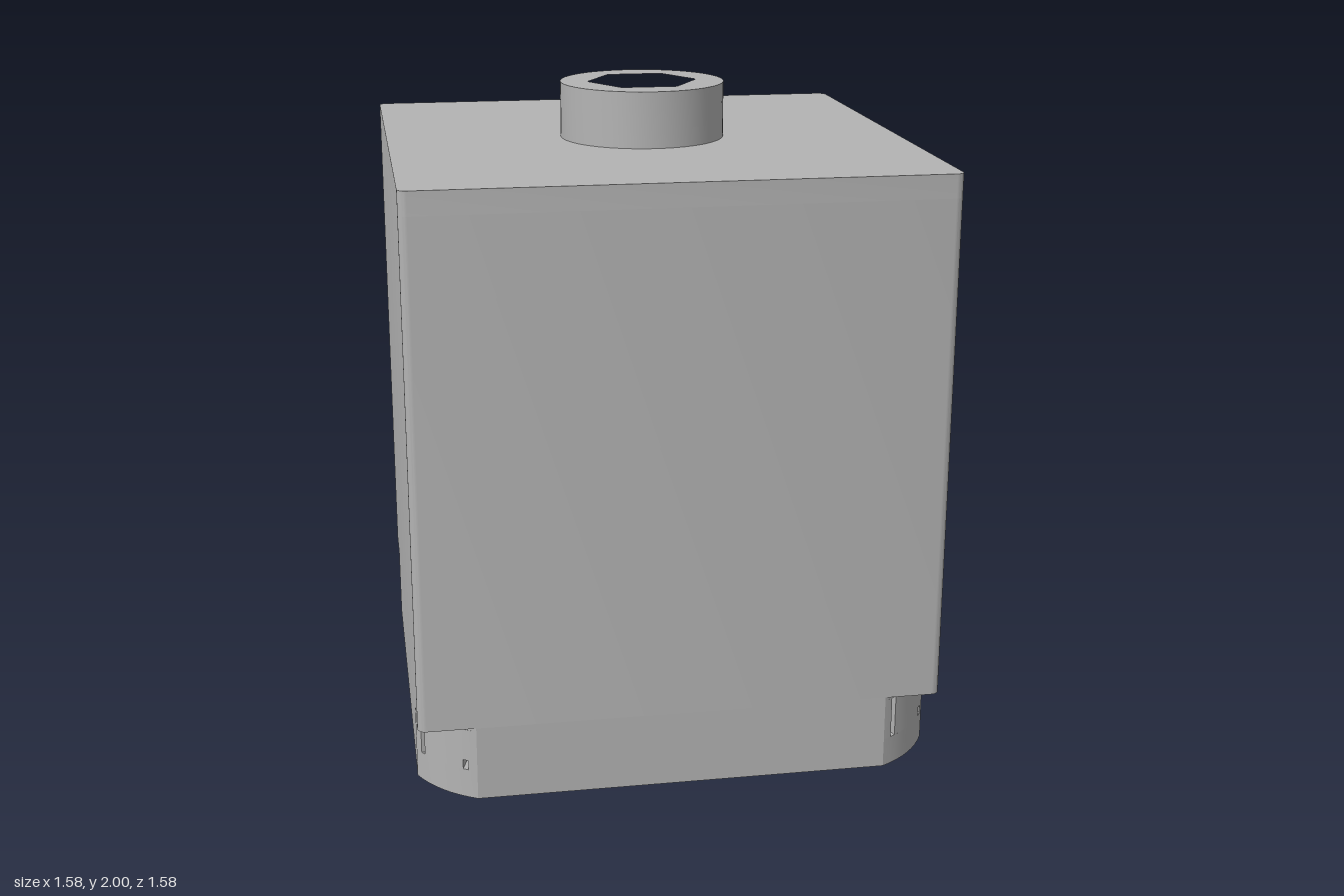
import * as THREE from 'three';
import { toCreasedNormals } from 'three/addons/utils/BufferGeometryUtils.js';

const HALF = 0.79, CUT = 0.17, WALL = 0.065, BULGE = 0.02;
const FOOT_TOP = 0.23, CEILING = 1.76, BODY_TOP = 1.83;
const INNER = HALF - WALL;
const INNER_END = HALF - CUT - WALL * Math.tan(Math.PI / 8) + 0.03; // end of each inner wall

const turn = (p, k) => {
  let [x, z] = p;
  for (let i = 0; i < k; i++) [x, z] = [z, -x];
  return [x, z];
};

// Point on the front left corner pad, t = 0 at the front wall and 1 at the side wall
const outerArc = (t) => {
  const b = BULGE * 4 * t * (1 - t) * Math.SQRT1_2;
  return [HALF - CUT + CUT * t + b, HALF - CUT * t + b];
};
const innerLine = (t) => {
  const d = INNER - INNER_END;
  return [INNER_END + d * t, INNER - d * t];
};
const sample = (fn, a, b, n) => Array.from({ length: n + 1 }, (_, i) => fn(a + ((b - a) * i) / n));

// Closed plan made from one corner repeated four times
const fourfold = (corner) => [0, 1, 2, 3].flatMap((k) => corner.map((p) => turn(p, k)));

const vec = (points) => points.map(([x, z]) => new THREE.Vector2(x, -z));

// Upright slab between two heights from a plan in x and z
function slab(points, hole, y0, y1) {
  const shape = new THREE.Shape(vec(points));
  if (hole) shape.holes.push(new THREE.Path(vec(hole)));
  const geo = new THREE.ExtrudeGeometry(shape, { depth: y1 - y0, bevelEnabled: false });
  geo.rotateX(-Math.PI / 2).translate(0, y0, 0);
  return toCreasedNormals(geo, 0.5);
}

export function createModel() {
  const model = new THREE.Group();
  const grey = new THREE.MeshStandardMaterial({ color: 0xb4b4b4 });
  grey.name = 'plain grey';
  const add = (name, geo, parent = model) => {
    const mesh = new THREE.Mesh(geo, grey);
    mesh.name = name;
    parent.add(mesh);
    return mesh;
  };

  const cavity = fourfold(sample(innerLine, 0, 1, 1));
  const footPlan = fourfold(sample(outerArc, 0, 1, 8));
  const r = 0.025;
  const bodyPlan = fourfold(sample((t) => {
    const a = (t * Math.PI) / 2;
    return [HALF - r + r * Math.sin(a), HALF - r + r * Math.cos(a)];
  }, 0, 1, 6));

  // Hollow block with rounded upright edges, and its closed top
  add('bodyWalls', slab(bodyPlan, cavity, FOOT_TOP, CEILING));
  add('bodyTop', slab(bodyPlan, null, CEILING, BODY_TOP));

  // Knob with a hexagonal socket
  const circle = sample((t) => [0.253 * Math.cos(t), 0.253 * Math.sin(t)], 0, Math.PI * 2, 64).slice(0, -1);
  const hexagon = sample((t) => [0.17 * Math.cos(t), 0.17 * Math.sin(t)], 0, Math.PI * 2, 6).slice(0, -1);
  add('knob', slab(circle, hexagon, BODY_TOP, 2));

  // Foot with cut corners: solid rings below and above the slotted band
  const low = 0.09, mid = 0.12, high = 0.22;
  add('footRim', slab(footPlan, cavity, 0, low));
  add('footShoulder', slab(footPlan, cavity, high, FOOT_TOP));

  const cornerPiece = (t0, t1, y0, y1) =>
    slab([...sample(outerArc, t0, t1, 6), ...sample(innerLine, t1, t0, 1)], null, y0, y1);
  const w = 0.035;
  const slots = [[0.15 - w, 0.15 + w, high], [0.85 - w, 0.85 + w, mid]];

  for (let k = 0; k < 4; k++) {
    const side = new THREE.Group();
    side.name = 'footSide';
    side.rotation.y = (k * Math.PI) / 2;
    model.add(side);

    // Straight wall of the slotted band
    const e = HALF - CUT;
    add('footWall', slab(
      [[-e, HALF], [e, HALF], [INNER_END, INNER], [-INNER_END, INNER]], null, low, high), side);

    // Corner pad, one tall and one short slot
    add('cornerPad', cornerPiece(0, slots[0][0], low, high), side);
    add('cornerPad', cornerPiece(slots[0][1], slots[1][0], low, high), side);
    add('cornerPad', cornerPiece(slots[1][1], 1, low, high), side);
    add('cornerPad', cornerPiece(slots[1][0], slots[1][1], slots[1][2], high), side);

    // Ridge along the inside of the wall
    const ridge = new THREE.BoxGeometry(INNER_END * 1.9, 0.05, 0.03);
    ridge.translate(0, 0.085, INNER - 0.01);
    add('innerRidge', ridge, side);
  }
  return model;
}
